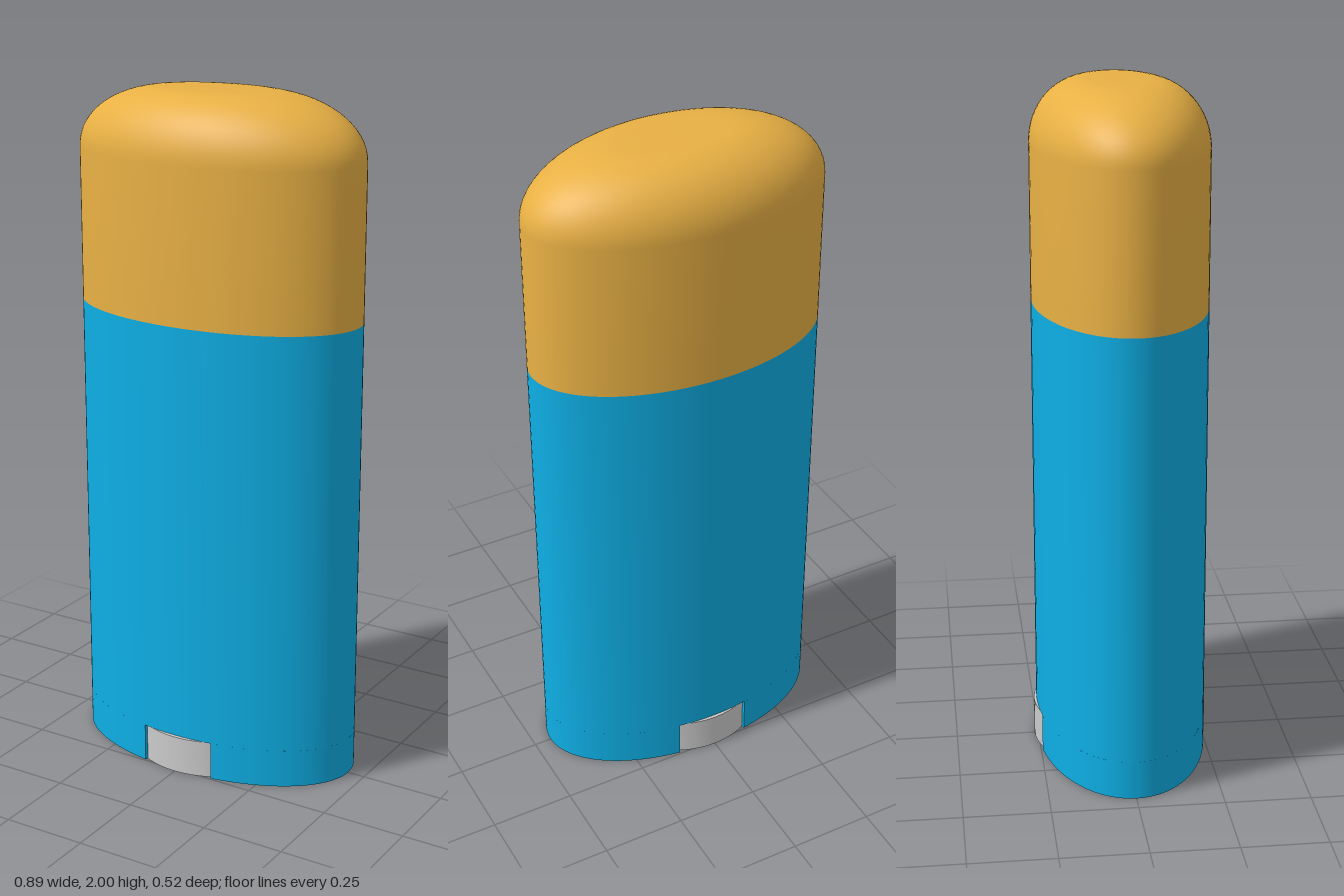
import * as THREE from 'three';
import { toCreasedNormals } from 'three/addons/utils/BufferGeometryUtils.js';

const A = 0.447, B = 0.254;      // half width and half depth of the oval
const NOTCH_H = 0.115, WALL = 0.97, SEAM = 1.37;

const material = (color) => new THREE.MeshStandardMaterial({ color });

// Revolved profile, squashed to an oval of half axes a and b
function turned(name, profile, a, b, mat, segments = 96) {
  const points = profile.map(([r, y]) => new THREE.Vector2(r, y));
  const geometry = new THREE.LatheGeometry(points, segments).scale(a, 1, b);
  const mesh = new THREE.Mesh(toCreasedNormals(geometry, 0.6), mat);
  mesh.name = name;
  return mesh;
}

export function createModel() {
  const group = new THREE.Group();
  group.name = 'ovalStickDispenser';
  const blue = material(0x0eaee4), yellow = material(0xe8b044), grey = material(0xcccccc);

  // Body, with a recessed ceiling above the dial
  group.add(turned('body', [
    [0, 0.13], [WALL, 0.13], [WALL, NOTCH_H], [1, NOTCH_H], [1, SEAM], [0, SEAM],
  ], A, B, blue));

  // Thin skirt halves, leaving a notch at the front and back
  const gap = Math.asin(0.115 / A);
  for (const side of [0, 1]) {
    const start = -Math.PI / 2 + gap + side * Math.PI;
    const end = Math.PI / 2 - gap + side * Math.PI;
    const shape = new THREE.Shape();
    shape.absellipse(0, 0, A, B, start, end, false);
    shape.absellipse(0, 0, A * WALL, B * WALL, end, start, true);
    shape.closePath();
    const geometry = new THREE.ExtrudeGeometry(shape, {
      depth: NOTCH_H, bevelEnabled: false, curveSegments: 40,
    }).rotateX(-Math.PI / 2);
    const skirt = new THREE.Mesh(toCreasedNormals(geometry, 0.6), blue);
    skirt.name = side ? 'rightSkirt' : 'leftSkirt';
    group.add(skirt);
  }

  // Cap with a broadly rounded shoulder
  const cap = [[0, SEAM], [1, SEAM]];
  for (let i = 0; i <= 16; i++) {
    const t = (i / 16) * Math.PI / 2;
    cap.push([0.35 + 0.65 * Math.cos(t), 1.82 + 0.18 * Math.sin(t)]);
  }
  cap.push([0, 2]);
  group.add(turned('cap', cap, A, B, yellow));

  // Turning dial: hollow underside with a raised central hub
  group.add(turned('dial', [
    [0, 0.03], [0.12, 0.03], [0.12, 0.07], [0.248, 0.07],
    [0.248, 0], [0.262, 0], [0.262, 0.113], [0, 0.113],
  ], 1, 1, grey, 64));

  return group;
}
